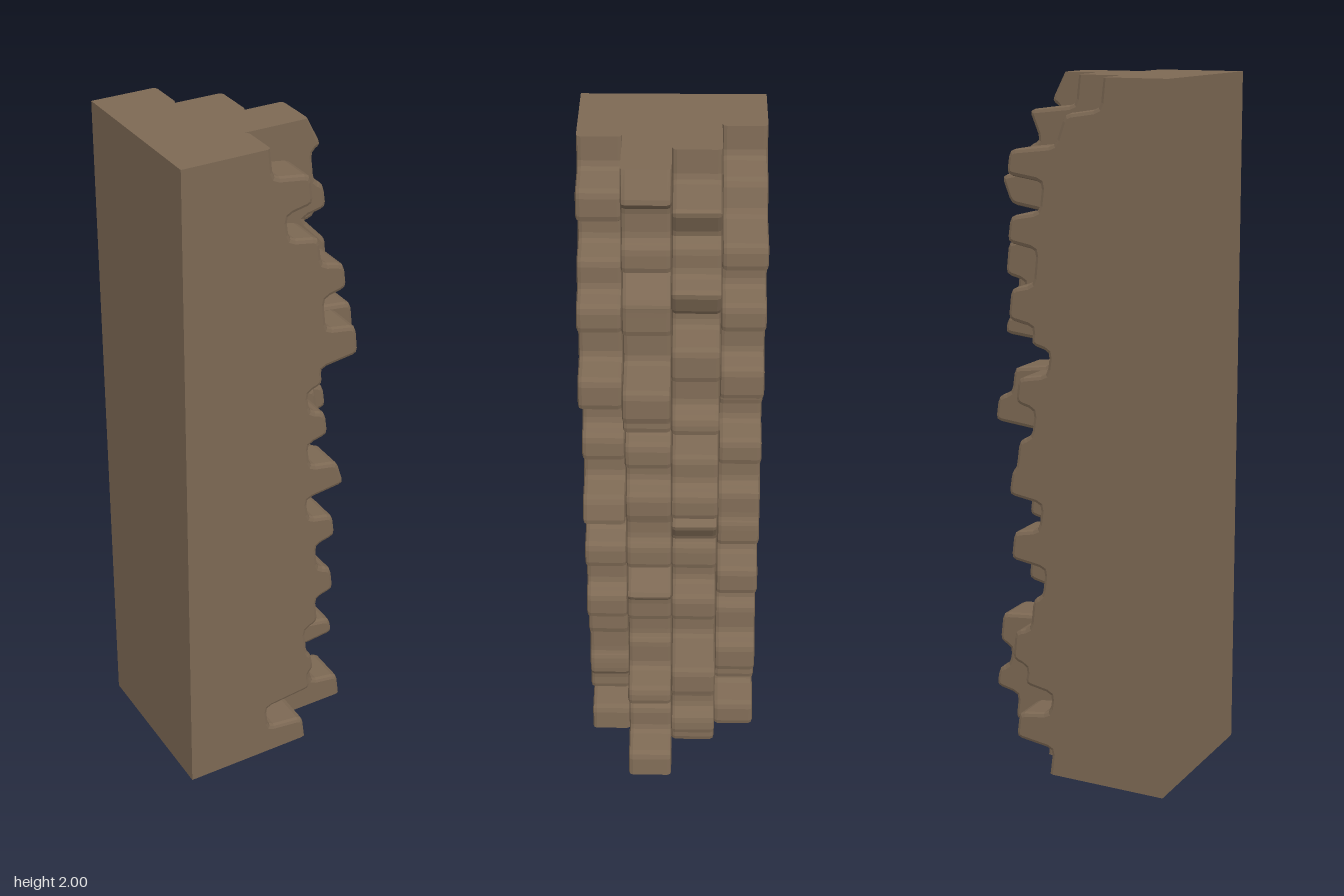
import * as THREE from 'three';

const LEFT = -0.305, TOP = 2, BEVEL = 0.012, ROUND = 0.018, FLARE = 0.01;

// Bottom height of each stone course, shared by all slabs
const courses = [
  1.91, 1.81, 1.725, 1.63, 1.54, 1.43, 1.325, 1.26, 1.18, 1.09, 1,
  0.905, 0.82, 0.73, 0.63, 0.535, 0.43, 0.325, 0.255, 0.18, 0.085, 0];

// How far each course reaches; a pair is a steep slope from its top to its bottom
const slabs = [
  { name: 'frontRockSlab', z0: 0.13, z1: 0.25, reach: [
    -0.05, 0.07, 0, 0.1, 0.18, 0.12, 0.225, 0.115, 0.075, 0.135, 0.08,
    [0.18, 0.205], 0.08, 0.17, 0.115, 0.17, 0.12, 0.085, 0.11, 0.1, -0.045, 0.085] },
  { name: 'innerFrontRockSlab', z0: 0, z1: 0.13, reach: [
    [0.13, 0.175], 0.145, 0.185, [0.12, 0.195], 0.195, 0.14, 0.285, 0.24, 0.11, 0.175, 0.1,
    0.17, 0.14, 0.175, [0.12, 0.2], 0.18, 0.12, 0.15, 0.25, 0.12, 0.18, 0.285] },
  { name: 'innerBackRockSlab', z0: -0.13, z1: 0, reach: [
    0.02, [0.175, 0.14], 0.18, [0.265, 0.235], 0.13, 0.245, 0.19, 0.25, 0.1, 0.23, 0.285,
    0.14, [0.19, 0.15], 0.175, 0.1, 0.18, 0.12, 0.28, 0.25, 0.295, 0.23, 0.12] },
  { name: 'backRockSlab', z0: -0.25, z1: -0.13, reach: [
    -0.115, [0, 0.03], 0.17, 0.07, 0.17, 0.09, 0.17, 0.1, 0.05, 0.15, 0.1,
    0.15, 0.175, 0.08, 0.17, 0.07, 0.11, 0.17, 0.13, 0.05, 0.16, 0.05] },
];

// Jagged outline with softened corners and a straight back edge
function slabShape(reach) {
  const pts = [];
  reach.forEach((r, i) => {
    const [xTop, xBottom = xTop + FLARE] = [].concat(r);
    const yBottom = courses[i];
    pts.push(new THREE.Vector2(xTop, i === 0 ? TOP : courses[i - 1] - 0.008));
    pts.push(new THREE.Vector2(xBottom, yBottom === 0 ? 0 : yBottom + 0.008));
  });
  const shape = new THREE.Shape();
  shape.moveTo(LEFT, TOP);
  shape.lineTo(pts[0].x, pts[0].y);
  for (let i = 1; i < pts.length - 1; i++) {
    const p = pts[i];
    const near = (q) => {
      const len = p.distanceTo(q);
      return p.clone().lerp(q, Math.min(ROUND, len * 0.4) / len);
    };
    const a = near(pts[i - 1]), b = near(pts[i + 1]);
    shape.lineTo(a.x, a.y);
    shape.quadraticCurveTo(p.x, p.y, b.x, b.y);
  }
  const last = pts[pts.length - 1];
  shape.lineTo(last.x, last.y);
  shape.lineTo(LEFT, 0);
  shape.closePath();
  return shape;
}

// Bevelled slab whose top, base and straight edge stay flush with its neighbours
function slabGeometry({ reach, z0, z1 }) {
  const geo = new THREE.ExtrudeGeometry(slabShape(reach), {
    depth: z1 - z0 - 2 * BEVEL, bevelEnabled: true, bevelSize: BEVEL,
    bevelThickness: BEVEL, bevelOffset: -BEVEL, bevelSegments: 2, curveSegments: 2,
  });
  geo.translate(0, 0, z0 + BEVEL);
  const p = geo.attributes.position;
  for (let i = 0; i < p.count; i++) {
    if (p.getX(i) < LEFT + 0.02) p.setX(i, LEFT);
    if (p.getY(i) > TOP - 0.015) p.setY(i, TOP);
    if (p.getY(i) < 0.015) p.setY(i, 0);
  }
  geo.computeVertexNormals();
  return geo;
}

export function createModel() {
  const model = new THREE.Group();
  model.name = 'rockWallSegment';
  const stone = new THREE.MeshStandardMaterial({ color: 0x7d6954 });
  stone.name = 'brown stone';
  for (const slab of slabs) {
    const mesh = new THREE.Mesh(slabGeometry(slab), stone);
    mesh.name = slab.name;
    model.add(mesh);
  }
  return model;
}
